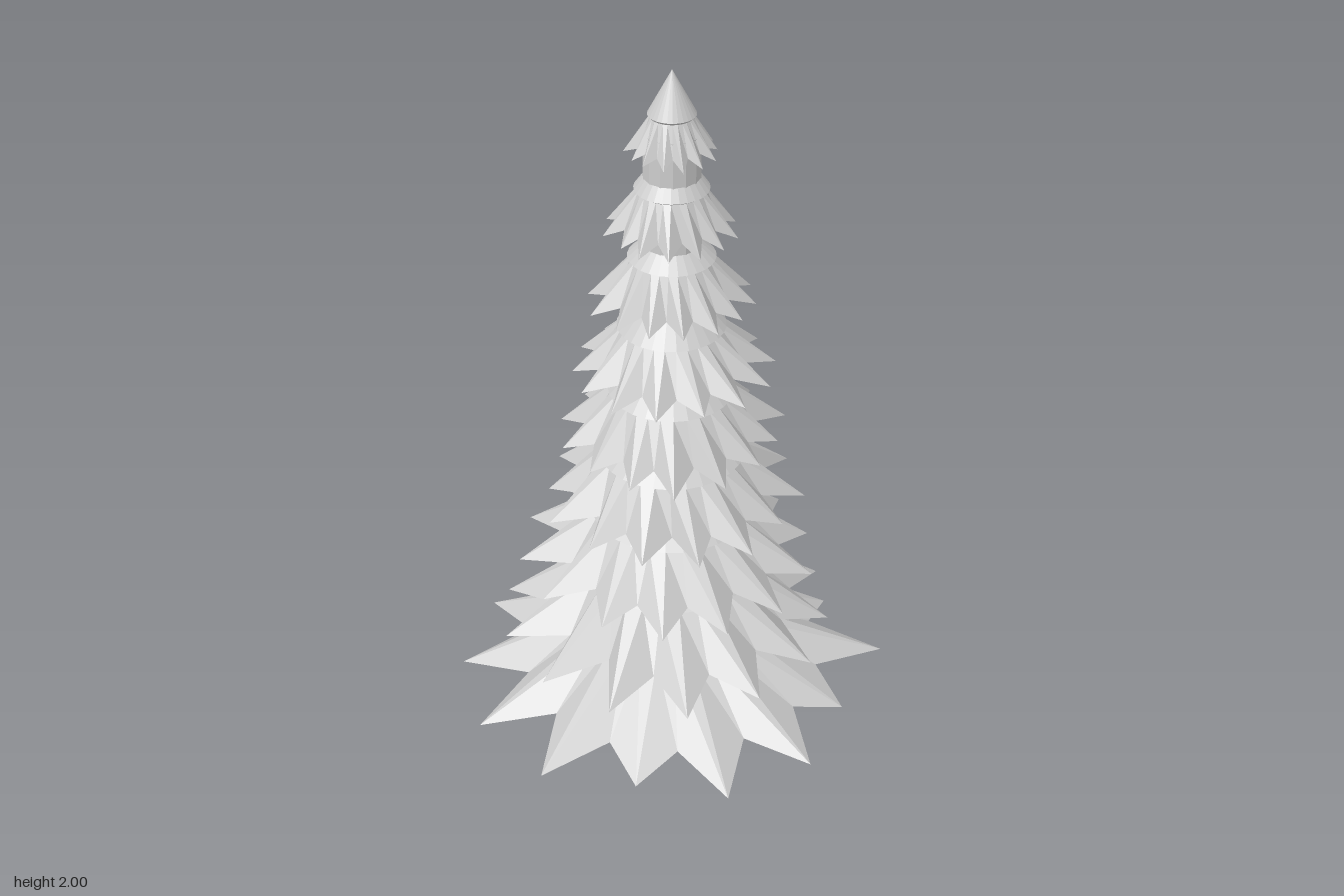
import * as THREE from 'three';

const SPIKES = 14;
const N = SPIKES * 2; // one column per tip and per notch

// small seeded generator for uneven branch tips
function seeded(seed) {
  let s = seed;
  return () => (s = (s * 16807) % 2147483647) / 2147483647;
}

// faceted surface through closed rings, listed from the top outwards and back under
function loft(rings) {
  const pos = [];
  for (let r = 0; r < rings.length - 1; r++) {
    const n = rings[r].length;
    for (let i = 0; i < n; i++) {
      const j = (i + 1) % n;
      const a = rings[r][i], b = rings[r][j], c = rings[r + 1][i], d = rings[r + 1][j];
      pos.push(...a, ...b, ...c, ...b, ...d, ...c);
    }
  }
  const geo = new THREE.BufferGeometry();
  geo.setAttribute('position', new THREE.Float32BufferAttribute(pos, 3));
  geo.computeVertexNormals();
  return geo;
}

function ring(radius, y, phase) {
  return Array.from({ length: N }, (_, i) => {
    const a = phase + (i / N) * Math.PI * 2;
    return [radius * Math.cos(a), y, radius * Math.sin(a)];
  });
}

// shoulder height, shoulder radius, tip height, tip radius, collar height, collar radius
const TIERS = [
  [0.42, 0.23, 0.24, 0.555, 0.56, 0.08],
  [0.605, 0.235, 0.43, 0.44, 0.74, 0.08],
  [0.785, 0.21, 0.63, 0.385, 0.91, 0.08],
  [0.97, 0.19, 0.82, 0.33, 1.08, 0.08],
  [1.155, 0.16, 1.01, 0.285, 1.24, 0.08],
  [1.34, 0.135, 1.21, 0.25, 1.41, 0.075],
  [1.53, 0.107, 1.4, 0.195, 1.565, 0.07],
  [1.71, 0.09, 1.595, 0.16, 1.74, 0.068],
  [1.895, 0.057, 1.795, 0.108, 2.0, 0.0005],
];
// reach of each tip on the lowest tier
const LOW_TIPS = [0.505, 0.555, 0.555, 0.5, 0.57, 0.58, 0.58, 0.56, 0.515, 0.55, 0.575, 0.565, 0.505, 0.59];

// one skirt of drooping, pleated branches with a smooth collar above
function tierGeometry([ys, rs, yt, rt, yc, rc], index, rand) {
  const phase = index * 0.17;
  const drop = ys - yt;
  const edge = Array.from({ length: N }, (_, i) => {
    const tip = i % 2 === 0;
    const jitter = index === 0 ? 0 : (rand() - 0.5) * 0.12;
    const a = phase + ((i + jitter * 2) / N) * Math.PI * 2;
    const reach = index === 0 ? LOW_TIPS[i / 2] : rt * (1 + jitter);
    const r = tip ? reach : rt * (0.73 + jitter * 0.5);
    const y = tip ? yt + rand() * 0.01 : yt + drop * 0.22;
    return [r * Math.cos(a), y, r * Math.sin(a)];
  });
  return loft([
    ring(rc, yc, phase),
    ring(rs, ys, phase),
    ring(rs * 0.9, ys - 0.006, phase),
    edge,
    ring(0.06, yt + drop * 0.7, phase),
  ]);
}

export function createModel() {
  const model = new THREE.Group();
  model.name = 'firTree';
  const grey = new THREE.MeshStandardMaterial({ color: 0xcccccc, flatShading: true });
  grey.name = 'pale grey';

  const tree = new THREE.Group();
  tree.name = 'tree';
  tree.position.x = 0.015;
  model.add(tree);

  const add = (geo, name) => {
    const mesh = new THREE.Mesh(geo, grey);
    mesh.name = name;
    tree.add(mesh);
    return mesh;
  };

  // trunk
  add(new THREE.CylinderGeometry(0.068, 0.085, 1.85, 14), 'trunk').position.y = 0.925;

  // flared foot, scalloped between the roots
  const foot = (r, y, wave) => ring(1, y, 0).map(([x, , z], i) => {
    const q = r + (i % 4 === 0 ? wave : 0);
    return [x * q, y, z * q];
  });
  add(loft([
    foot(0.084, 0.058, 0),
    foot(0.105, 0.045, 0.005),
    foot(0.13, 0.022, 0.02),
    foot(0.128, 0.008, 0.018),
    foot(0.118, 0, 0),
    foot(0.0005, 0, 0),
  ]), 'trunkFoot');

  // root knuckles
  const knuckle = new THREE.SphereGeometry(1, 8, 6);
  for (let i = 0; i < 7; i++) {
    const a = (i / 7) * Math.PI * 2;
    const root = add(knuckle, 'root');
    root.scale.set(0.032, 0.021, 0.016);
    root.position.set(0.128 * Math.cos(a), 0.033, 0.128 * Math.sin(a));
    root.rotation.set(0, -a, -0.35, 'YXZ');
  }

  // branch tiers, lowest first
  const rand = seeded(4217);
  TIERS.forEach((tier, i) => add(tierGeometry(tier, i, rand), 'branchTier' + (i + 1)));

  return model;
}
